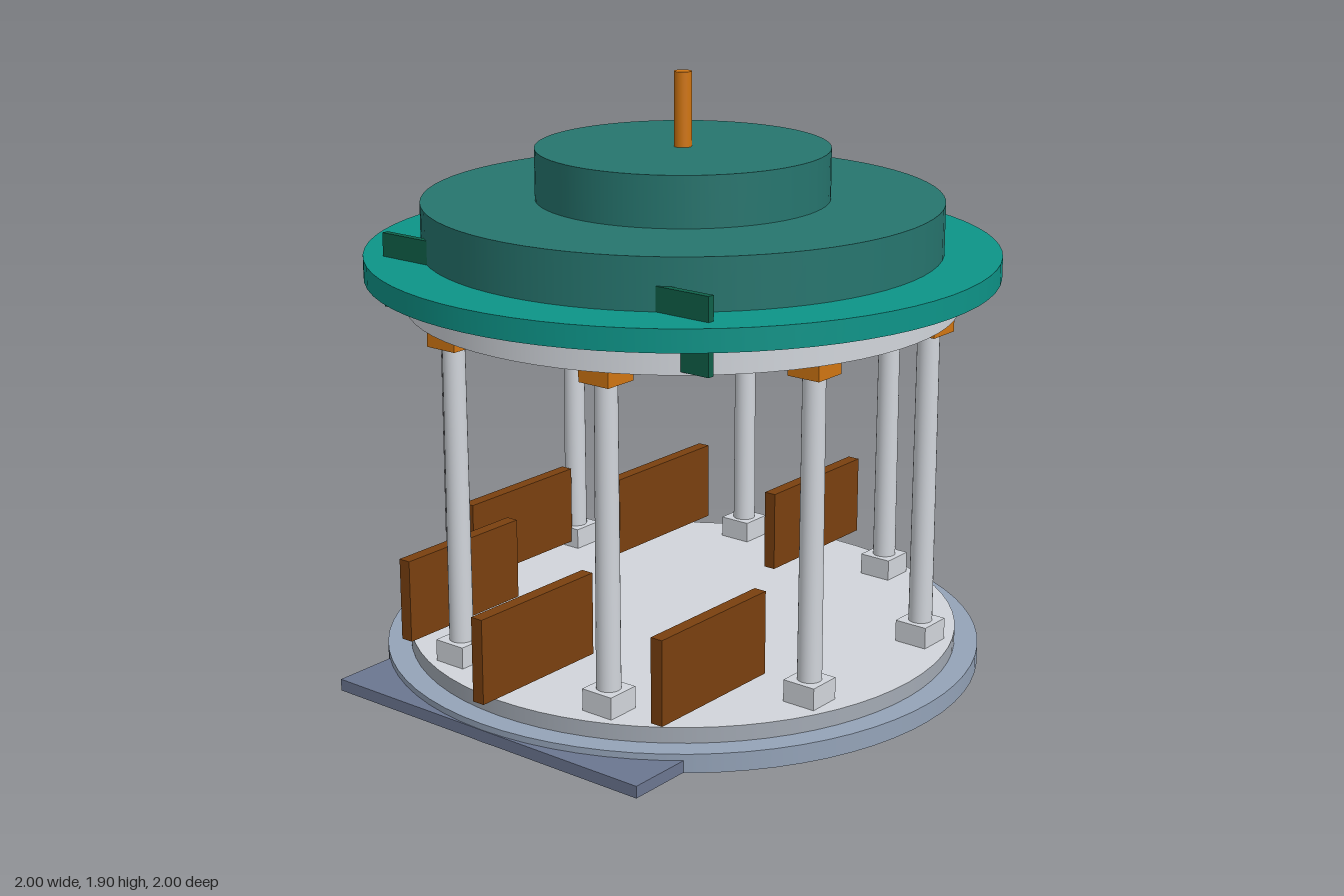
import * as THREE from 'three';

const mat = (name, color) => {
  const m = new THREE.MeshStandardMaterial({ color });
  m.name = name;
  return m;
};

export function createModel() {
  const root = new THREE.Group();
  root.name = 'pavilion';

  const stone = mat('pale stone', 0xd1d5db);
  const plinth = mat('grey plinth', 0xa3aab4);
  const slate = mat('slate base', 0x94a3b8);
  const stepMat = mat('dark slate', 0x6b7690);
  const teal = mat('bright teal', 0x0d9488);
  const roofMat = mat('deep teal', 0x26756e);
  const green = mat('dark green', 0x0f6049);
  const gold = mat('amber', 0xd07512);
  const wood = mat('brown wood', 0x7a400f);

  const add = (name, geo, material, x, y, z) => {
    const mesh = new THREE.Mesh(geo, material);
    mesh.name = name;
    mesh.position.set(x, y, z);
    root.add(mesh);
    return mesh;
  };
  // Round slab between two heights
  const disc = (name, r, y0, y1, material, seg = 72) =>
    add(name, new THREE.CylinderGeometry(r, r, y1 - y0, seg), material, 0, (y0 + y1) / 2, 0);

  // Base, floor and front step
  disc('lowerBase', 0.965, 0, 0.06, slate);
  disc('floor', 0.89, 0.06, 0.11, [plinth, stone, plinth]);
  add('frontStep', new THREE.BoxGeometry(1.21, 0.038, 0.215), stepMat, 0, 0.021, 0.859);

  // Eight columns with square feet and capitals
  const foot = new THREE.BoxGeometry(0.112, 0.07, 0.112);
  const shaft = new THREE.CylinderGeometry(0.035, 0.038, 0.95, 24);
  const capital = new THREE.BoxGeometry(0.112, 0.05, 0.112);
  for (let i = 0; i < 8; i++) {
    const a = (i + 0.5) * Math.PI / 4;
    const x = 0.79 * Math.cos(a), z = 0.79 * Math.sin(a);
    add('columnFoot', foot, stone, x, 0.145, z);
    add('columnShaft', shaft, stone, x, 0.655, z);
    add('columnCapital', capital, gold, x, 1.155, z);
  }

  // Six parallel balustrade panels, leaving an opening on one side
  const panel = new THREE.BoxGeometry(0.042, 0.27, 0.5);
  for (let i = 1; i < 7; i++) {
    const a = i * Math.PI / 4;
    add('balustradePanel', panel, wood, 0.725 * Math.cos(a), 0.265, 0.725 * Math.sin(a));
  }

  // Ring beam, eave and stepped roof
  disc('ringBeam', 0.873, 1.18, 1.28, stone);
  disc('eave', 1, 1.28, 1.35, teal);
  disc('lowerRoof', 0.82, 1.35, 1.51, roofMat);
  disc('upperRoof', 0.463, 1.51, 1.67, roofMat);
  disc('finial', 0.028, 1.67, 1.905, gold, 24);

  // Board through the front of the roof, its ends showing at both sides
  add('frontBoard', new THREE.BoxGeometry(1.28, 0.235, 0.023), green, 0, 1.3075, 0.673);

  return root;
}
